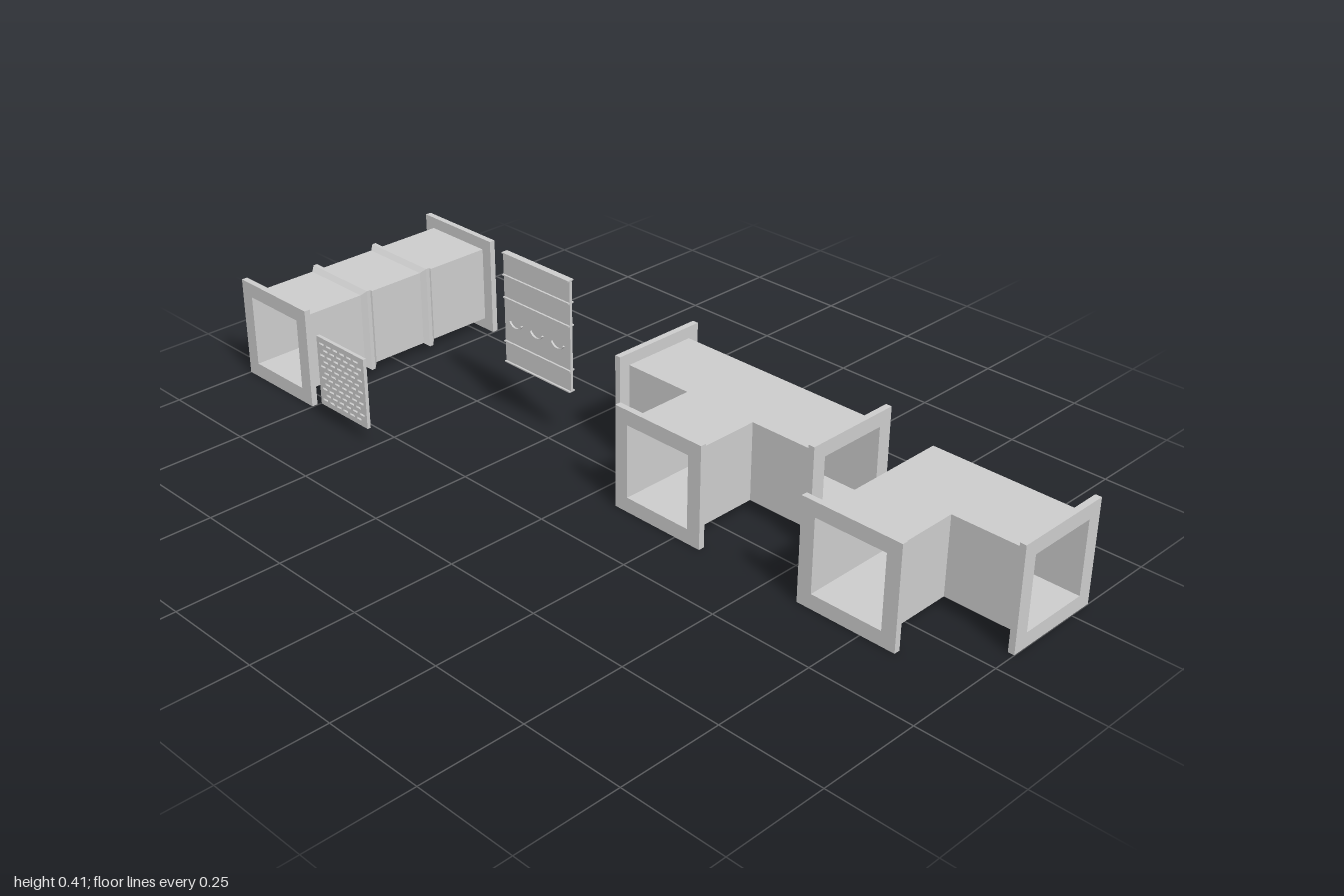
import * as THREE from 'three';

const FLANGE = 0.248, BODY = 0.19, OPEN = 0.177, DEPTH = 0.015;
const MID = FLANGE / 2, WALL = (BODY - OPEN) / 2, H = BODY / 2;

const material = new THREE.MeshStandardMaterial({ color: 0xcccccc, flatShading: true, side: THREE.DoubleSide });

function add(parent, name, geometry, x = 0, y = 0, z = 0) {
  const mesh = new THREE.Mesh(geometry, material);
  mesh.name = name;
  mesh.position.set(x, y, z);
  parent.add(mesh);
  return mesh;
}

function rectangle(w, h, cx = 0, cy = 0, Type = THREE.Shape) {
  return new Type([[-1, -1], [1, -1], [1, 1], [-1, 1]].map(
    ([i, j]) => new THREE.Vector2(cx + i * w / 2, cy + j * h / 2)));
}

// Square frame with a square opening, centred on its depth
function frame(outer, inner, depth) {
  const shape = rectangle(outer, outer);
  shape.holes.push(rectangle(inner, inner, 0, 0, THREE.Path));
  return new THREE.ExtrudeGeometry(shape, { depth, bevelEnabled: false }).translate(0, 0, -depth / 2);
}

function flange(parent, x, z, sideways = false) {
  const mesh = add(parent, 'flange', frame(FLANGE, OPEN, DEPTH), x, MID, z);
  if (sideways) mesh.rotation.y = Math.PI / 2;
}

// Hollow duct: each chain of [x, z] points is a run of walls, the gaps between chains are open ends
function branchedDuct(parent, chains) {
  const plan = new THREE.Shape(chains.flat().map(([x, z]) => new THREE.Vector2(x, z)));
  const sheet = new THREE.ExtrudeGeometry(plan, { depth: WALL, bevelEnabled: false }).rotateX(Math.PI / 2);
  add(parent, 'ductTop', sheet, 0, MID + H, 0);
  add(parent, 'ductFloor', sheet, 0, MID - H + WALL, 0);
  for (const chain of chains) {
    for (let i = 1; i < chain.length; i++) {
      const [ax, az] = chain[i - 1], [bx, bz] = chain[i];
      const length = Math.hypot(bx - ax, bz - az);
      const dx = (bx - ax) / length, dz = (bz - az) / length;
      const wall = add(parent, 'ductWall', new THREE.BoxGeometry(length, OPEN, WALL),
        (ax + bx) / 2 + dz * WALL / 2, MID, (az + bz) / 2 - dx * WALL / 2);
      wall.rotation.y = -Math.atan2(dz, dx);
    }
  }
}

// Raised stiffening bead around the square duct, built from stacked square cross-sections
function bead() {
  const profile = [[-0.017, H], [-0.005, H + 0.01], [0.005, H + 0.01], [0.017, H]];
  const positions = [], index = [];
  for (const [z, r] of profile) {
    for (const [i, j] of [[-1, -1], [1, -1], [1, 1], [-1, 1]]) positions.push(i * r, j * r, z);
  }
  for (let s = 0; s < profile.length - 1; s++) {
    for (let k = 0; k < 4; k++) {
      const a = s * 4 + k, b = s * 4 + (k + 1) % 4;
      index.push(a, b, b + 4, a, b + 4, a + 4);
    }
  }
  const geometry = new THREE.BufferGeometry();
  geometry.setAttribute('position', new THREE.Float32BufferAttribute(positions, 3));
  geometry.setIndex(index);
  geometry.computeVertexNormals();
  return geometry;
}

function straightDuct() {
  const group = new THREE.Group();
  group.name = 'straightDuct';
  add(group, 'ductBody', frame(BODY, OPEN, 0.56), 0, MID, 0);
  for (const side of [-1, 1]) {
    flange(group, 0, side * 0.2825);
    add(group, 'stiffeningBead', bead(), 0, MID, side * 0.0905);
  }
  group.position.set(-0.876, 0, 0.004);
  return group;
}

function teeDuct() {
  const group = new THREE.Group();
  group.name = 'teeDuct';
  const end = 0.28, front = 0.275;
  branchedDuct(group, [
    [[end, -H], [-end, -H]],
    [[-end, H], [-H, H], [-H, front]],
    [[H, front], [H, H], [end, H]],
  ]);
  flange(group, -end, 0, true);
  flange(group, end, 0, true);
  flange(group, 0, front + 0.001);
  group.position.set(0.196, 0, -0.184);
  return group;
}

function elbowDuct() {
  const group = new THREE.Group();
  group.name = 'elbowDuct';
  const end = 0.28, front = 0.275;
  branchedDuct(group, [
    [[end, -H], [-H, -H], [-H, front]],
    [[H, front], [H, H], [end, H]],
  ]);
  flange(group, end, 0, true);
  flange(group, 0, front + 0.001);
  group.position.set(0.712, 0, -0.184);
  return group;
}

// Thin square grille with staggered slots
function grille() {
  const shape = rectangle(0.172, 0.176);
  const rows = 11, columns = 6;
  for (let r = 0; r < rows; r++) {
    const shift = r % 2 ? 0.006 : -0.006;
    for (let c = 0; c < columns; c++) {
      shape.holes.push(rectangle(0.017, 0.005,
        (c - (columns - 1) / 2) * 0.025 + shift, (r - (rows - 1) / 2) * 0.0145, THREE.Path));
    }
  }
  const group = new THREE.Group();
  group.name = 'grille';
  add(group, 'slottedPlate', new THREE.ExtrudeGeometry(shape, { depth: 0.009, bevelEnabled: false }));
  group.position.set(-0.605, 0.125, 0.3);
  return group;
}

// Upright panel with horizontal ribs and a row of three curved catches
function panel() {
  const group = new THREE.Group();
  group.name = 'ribbedPanel';
  const width = 0.219, bottom = 0.128, top = 0.405;
  add(group, 'panelSheet', new THREE.BoxGeometry(width, top - bottom, 0.007), 0, (top + bottom) / 2, 0);
  for (const y of [0.1295, 0.182, 0.293, 0.349, 0.4035]) {
    add(group, 'panelRib', new THREE.BoxGeometry(width, 0.003, 0.017), 0, y, 0);
  }
  for (const x of [-0.07, 0, 0.07]) {
    const arc = new THREE.Shape();
    arc.absarc(0, 0, 0.024, Math.PI * 1.15, Math.PI * 1.85, false);
    arc.absarc(0, 0, 0.021, Math.PI * 1.85, Math.PI * 1.15, true);
    const geometry = new THREE.ExtrudeGeometry(arc, { depth: 0.017, bevelEnabled: false, curveSegments: 8 });
    add(group, 'panelCatch', geometry.translate(0, 0, -0.0085), x, 0.248, 0);
  }
  group.position.set(-0.308, 0, -0.0285);
  return group;
}

export function createModel() {
  const model = new THREE.Group();
  model.name = 'ductKit';
  model.add(straightDuct(), grille(), panel(), teeDuct(), elbowDuct());
  return model;
}
